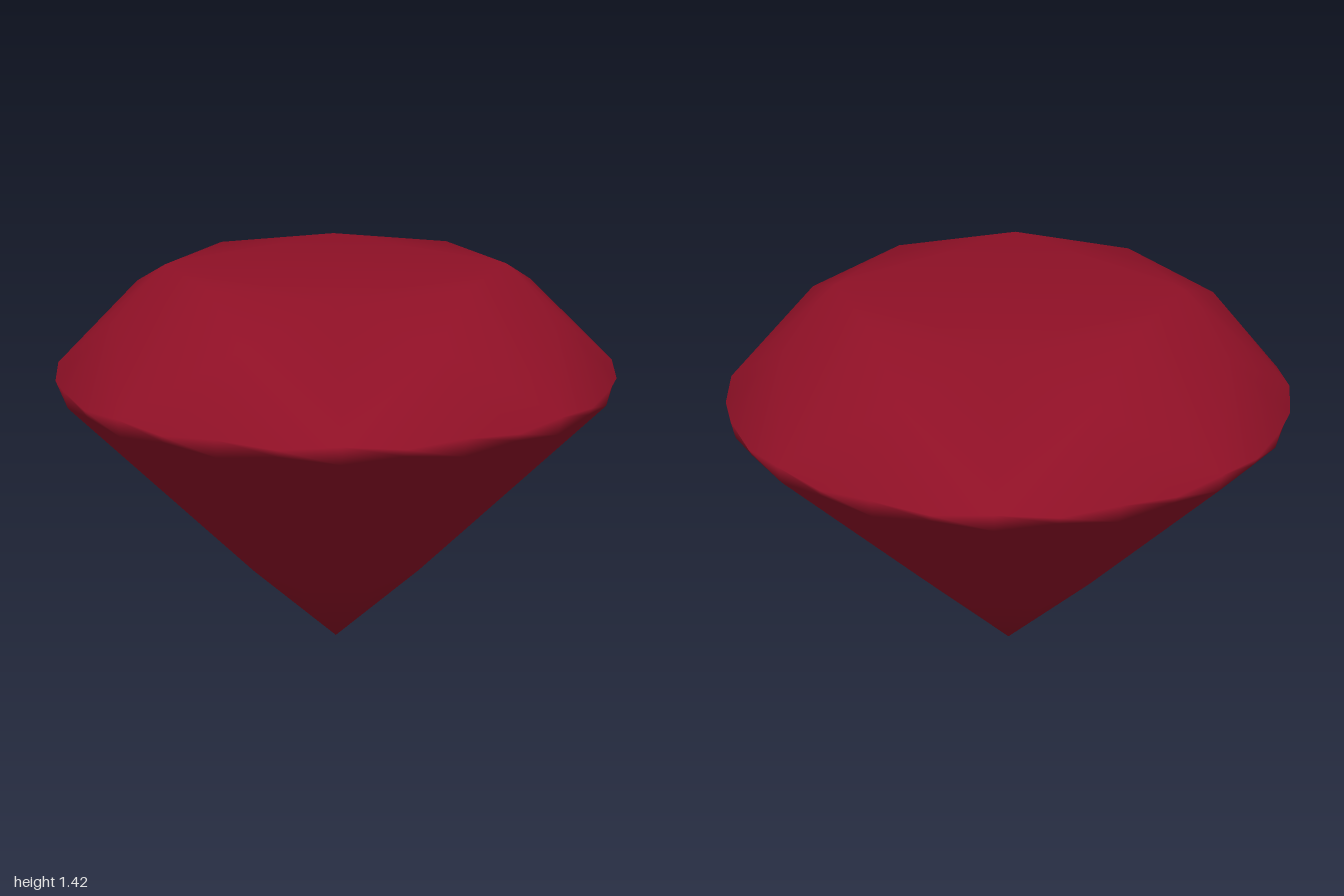
import * as THREE from 'three';

export function createModel() {
  const ruby = new THREE.MeshStandardMaterial({ color: 0x8f1026 });
  ruby.name = 'ruby red';

  // Each ring of corners returns an index lookup that wraps around
  const positions = [];
  function ring(count, radius, height, offset = 0) {
    const start = positions.length / 3;
    for (let i = 0; i < count; i++) {
      const a = ((i + offset) / count) * Math.PI * 2;
      const y = typeof height === 'function' ? height(i) : height;
      positions.push(Math.sin(a) * radius * 0.987, y, Math.cos(a) * radius);
    }
    return (i) => start + ((i + count) % count);
  }

  const table = ring(8, 0.605, 1.42);
  const star = ring(8, 0.8, 1.3, 0.5);
  const upper = ring(32, 1, (i) => (i % 2 ? 1.055 : 1.07)); // scalloped girdle
  const lower = ring(32, 0.988, (i) => (i % 2 ? 1.03 : 1.01));
  const pavilion = ring(8, 0.33, 0.316, 0.5);
  const culet = positions.length / 3;
  positions.push(0, 0, 0);

  const faces = [];
  const tri = (a, b, c) => faces.push(a, b, c);

  // Flat octagonal table
  tri(table(0), table(2), table(4));
  tri(table(0), table(4), table(6));
  for (let k = 0; k < 8; k += 2) tri(table(k), table(k + 1), table(k + 2));

  for (let k = 0; k < 8; k++) {
    // Crown: star facet and kite facet
    tri(table(k), star(k), table(k + 1));
    tri(table(k), star(k - 1), upper(4 * k));
    tri(table(k), upper(4 * k), star(k));
    // Half facets and girdle band
    for (let j = 4 * k; j < 4 * k + 4; j++) {
      tri(star(k), upper(j), upper(j + 1));
      tri(upper(j), lower(j), lower(j + 1));
      tri(upper(j), lower(j + 1), upper(j + 1));
      tri(pavilion(k), lower(j + 1), lower(j));
    }
    // Pavilion main facet down to the point
    tri(lower(4 * k), pavilion(k - 1), pavilion(k));
    tri(pavilion(k - 1), culet, pavilion(k));
  }

  const geometry = new THREE.BufferGeometry();
  geometry.setAttribute('position', new THREE.Float32BufferAttribute(positions, 3));
  geometry.setIndex(faces);
  geometry.computeVertexNormals(); // shared corners give the soft shading

  const gem = new THREE.Mesh(geometry, ruby);
  gem.name = 'gemstone';
  const group = new THREE.Group();
  group.name = 'cutGem';
  group.add(gem);
  return group;
}
